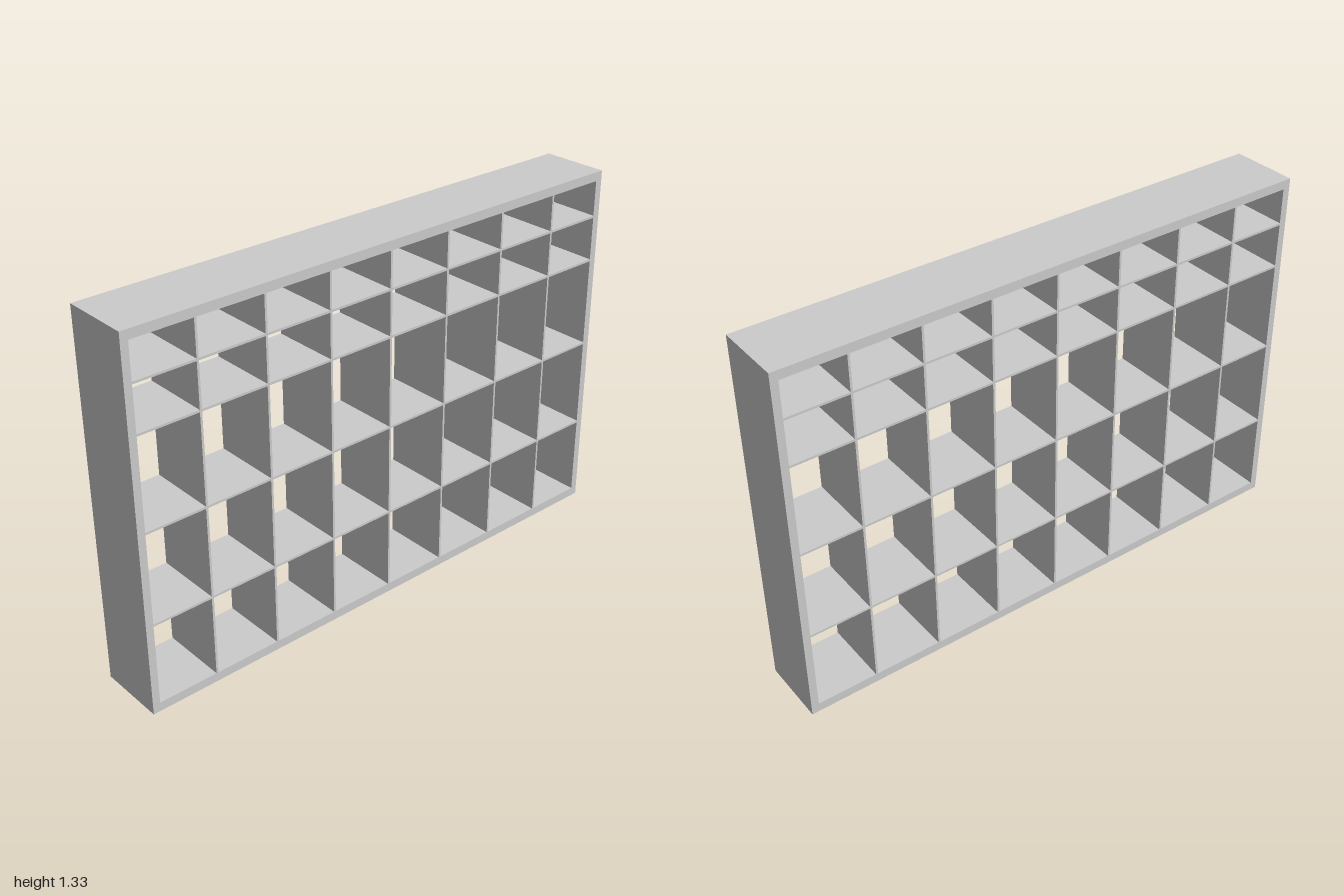
import * as THREE from 'three';

const W = 2, H = 1.333, D = 0.25; // outer size
const SIDE = 0.027, RAIL = 0.033; // frame thickness: uprights, top and bottom
const BOARD = 0.008; // thickness of the inner boards

export function createModel() {
  const group = new THREE.Group();
  const material = new THREE.MeshStandardMaterial({ color: 0xcccccc });

  const add = (name, geometry, x, y, z) => {
    const mesh = new THREE.Mesh(geometry, material);
    mesh.name = name;
    mesh.position.set(x, y, z);
    group.add(mesh);
  };

  const rectangle = (path, x, y) =>
    path.moveTo(-x, y).lineTo(x, y).lineTo(x, H - y).lineTo(-x, H - y).closePath();

  // Outer frame, open at front and back
  const outline = rectangle(new THREE.Shape(), W / 2, 0);
  outline.holes.push(rectangle(new THREE.Path(), W / 2 - SIDE, RAIL));
  add('frame', new THREE.ExtrudeGeometry(outline, { depth: D, bevelEnabled: false }), 0, 0, -D / 2);

  // Full-width shelves, closer together near the top
  const shelfHeights = [0.333, 0.667, 1, 1.167];
  const shelf = new THREE.BoxGeometry(W - 2 * SIDE, BOARD, D);
  shelfHeights.forEach((y, i) => add(`shelf${i + 1}`, shelf, 0, y, 0));

  // Upright dividers, fitted between the shelves
  const levels = [RAIL - BOARD / 2, ...shelfHeights, H - RAIL + BOARD / 2];
  for (let row = 0; row < levels.length - 1; row++) {
    const bottom = levels[row] + BOARD / 2;
    const top = levels[row + 1] - BOARD / 2;
    const divider = new THREE.BoxGeometry(BOARD, top - bottom, D);
    for (let column = -3; column <= 3; column++) {
      add(`divider${row + 1}_${column + 4}`, divider, column * 0.25, (bottom + top) / 2, 0);
    }
  }

  return group;
}
